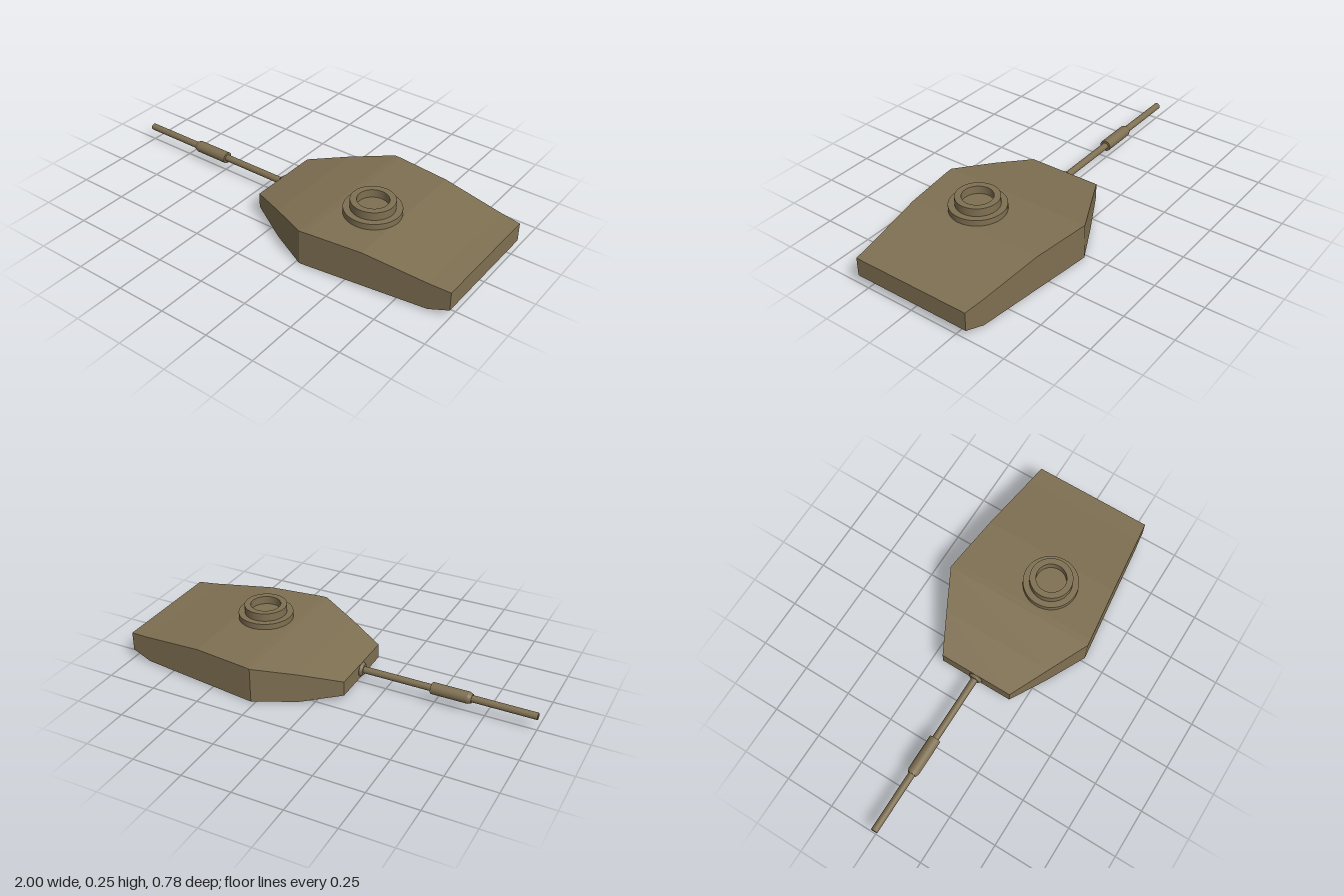
import * as THREE from 'three';

const paint = { color: 0x7f7052 };
const smooth = new THREE.MeshStandardMaterial(paint);
const flat = new THREE.MeshStandardMaterial({ ...paint, flatShading: true });

// Turned part from [radius, height] points; points are doubled so every edge stays crisp
function turned(name, profile, segments) {
  const group = new THREE.Group();
  group.name = name;
  for (let i = 0; i < profile.length - 1; i++) {
    const points = [profile[i], profile[i + 1]].map(([r, h]) => new THREE.Vector2(r, h));
    const band = new THREE.Mesh(new THREE.LatheGeometry(points, segments), smooth);
    band.name = name + 'Band';
    group.add(band);
  }
  return group;
}

// Turret shell: rectangular sections along x as [x, half width, bottom, top]
function shellGeometry() {
  const stations = [
    [-0.12, 0.19, 0.035, 0.11],
    [0.07, 0.288, 0, 0.15],
    [0.27, 0.39, 0.003, 0.182],
    [0.30, 0.387, 0.003, 0.184],
    [0.58, 0.354, 0.006, 0.184],
    [0.90, 0.317, 0.01, 0.147],
    [1.0, 0.305, 0.045, 0.14],
  ];
  const positions = [];
  const index = [];
  for (const [x, w, lo, hi] of stations) {
    positions.push(x, lo, w, x, hi, w, x, hi, -w, x, lo, -w);
  }
  const quad = (a, b, c, d) => index.push(a, b, c, a, c, d);
  for (let s = 0; s < stations.length - 1; s++) {
    for (let k = 0; k < 4; k++) {
      const a = s * 4 + k, b = s * 4 + ((k + 1) % 4);
      quad(a, a + 4, b + 4, b);
    }
  }
  const e = (stations.length - 1) * 4;
  quad(0, 1, 2, 3);
  quad(e + 3, e + 2, e + 1, e);
  const geometry = new THREE.BufferGeometry();
  geometry.setAttribute('position', new THREE.Float32BufferAttribute(positions, 3));
  geometry.setIndex(index);
  const faceted = geometry.toNonIndexed();
  faceted.computeVertexNormals();
  return faceted;
}

export function createModel() {
  const model = new THREE.Group();
  model.name = 'turret';

  const shell = new THREE.Mesh(shellGeometry(), flat);
  shell.name = 'turretShell';
  model.add(shell);

  // Stepped hatch ring with a recessed floor
  const hatch = turned('hatchRing', [
    [0.137, 0.18], [0.137, 0.214], [0.106, 0.214], [0.106, 0.255],
    [0.075, 0.255], [0.075, 0.214], [0, 0.214],
  ], 48);
  hatch.position.set(0.45, 0, 0.075);
  model.add(hatch);

  // Gun parts are turned along their own axis, measured forward from x = 0
  const gun = new THREE.Group();
  gun.name = 'gun';
  gun.add(
    turned('barrel', [
      [0.017, 0.11], [0.017, 1], [0.011, 1], [0.011, 0.95], [0, 0.95],
    ], 24),
    turned('barrelSleeve', [
      [0.017, 0.485], [0.029, 0.485], [0.029, 0.667], [0.022, 0.685], [0.017, 0.685],
    ], 24),
    turned('gunCollar', [
      [0.036, 0.11], [0.036, 0.122], [0.026, 0.135], [0.017, 0.135],
    ], 24),
  );
  gun.rotation.z = Math.PI / 2;
  gun.position.y = 0.075;
  model.add(gun);

  return model;
}
